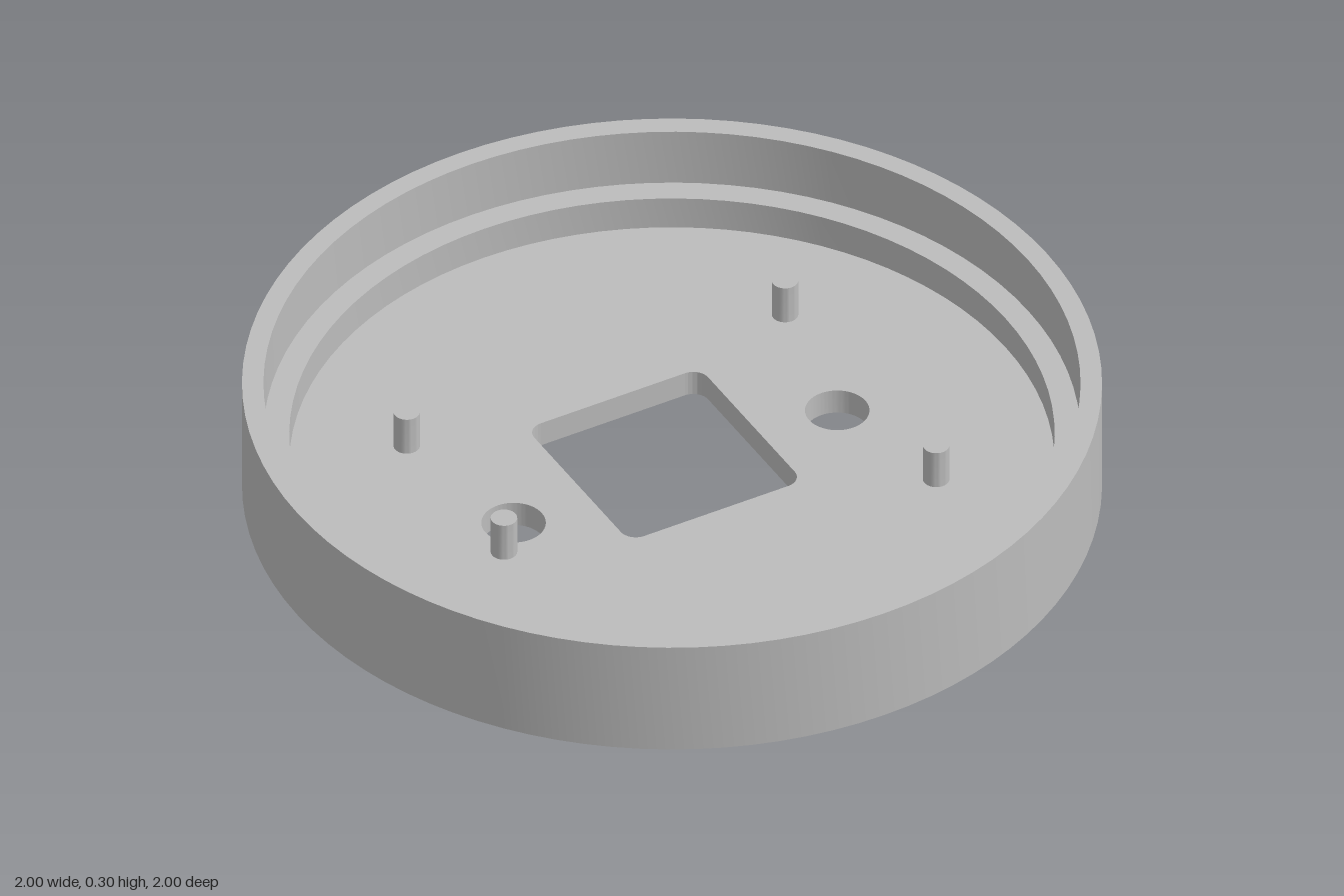
import * as THREE from 'three';
import { toCreasedNormals } from 'three/addons/utils/BufferGeometryUtils.js';

const FLOOR = 0.065;
const SEGMENTS = 96;

function circlePath(x, z, r, Type = THREE.Path) {
  return new Type().absarc(x, -z, r, 0, Math.PI * 2, false);
}

// Rounded rectangle in plan, given by its x and z limits
function roundedRectPath(x0, x1, z0, z1, r) {
  const p = new THREE.Path();
  p.absarc(x1 - r, -z0 - r, r, 0, Math.PI / 2);
  p.absarc(x0 + r, -z0 - r, r, Math.PI / 2, Math.PI);
  p.absarc(x0 + r, -z1 + r, r, Math.PI, Math.PI * 1.5);
  p.absarc(x1 - r, -z1 + r, r, Math.PI * 1.5, Math.PI * 2);
  p.closePath();
  return p;
}

export function createModel() {
  const group = new THREE.Group();
  group.name = 'roundHousingBase';
  const grey = new THREE.MeshStandardMaterial({ color: 0xbcbcbc });
  grey.name = 'plain grey';

  const add = (name, geometry) => {
    const mesh = new THREE.Mesh(toCreasedNormals(geometry, 0.5), grey);
    mesh.name = name;
    group.add(mesh);
    return mesh;
  };

  // Outer wall with a stepped inner ledge
  const profile = [
    [0.89, 0], [1, 0], [1, 0.3], [0.95, 0.3], [0.95, 0.15], [0.89, 0.15], [0.89, FLOOR],
  ].map(([x, y]) => new THREE.Vector2(x, y));
  add('steppedWall', new THREE.LatheGeometry(profile, SEGMENTS));

  // Floor plate with a square window and two round holes
  const plate = circlePath(0, 0, 0.89, THREE.Shape);
  plate.holes.push(
    roundedRectPath(-0.232, 0.232, -0.28, 0.209, 0.04),
    circlePath(-0.432, 0.016, 0.075),
    circlePath(0.432, 0.016, 0.075),
  );
  const floor = new THREE.ExtrudeGeometry(plate, {
    depth: FLOOR, bevelEnabled: false, curveSegments: SEGMENTS / 2,
  });
  floor.rotateX(-Math.PI / 2);
  add('floorPlate', floor);

  // Four locating pins standing on the floor
  const pinHeight = 0.1;
  for (const [x, z] of [[-0.505, -0.36], [0.505, -0.36], [-0.505, 0.1], [0.505, 0.355]]) {
    const pin = new THREE.CylinderGeometry(0.031, 0.031, pinHeight, 32);
    add('locatingPin', pin).position.set(x, FLOOR + pinHeight / 2, z);
  }

  return group;
}
